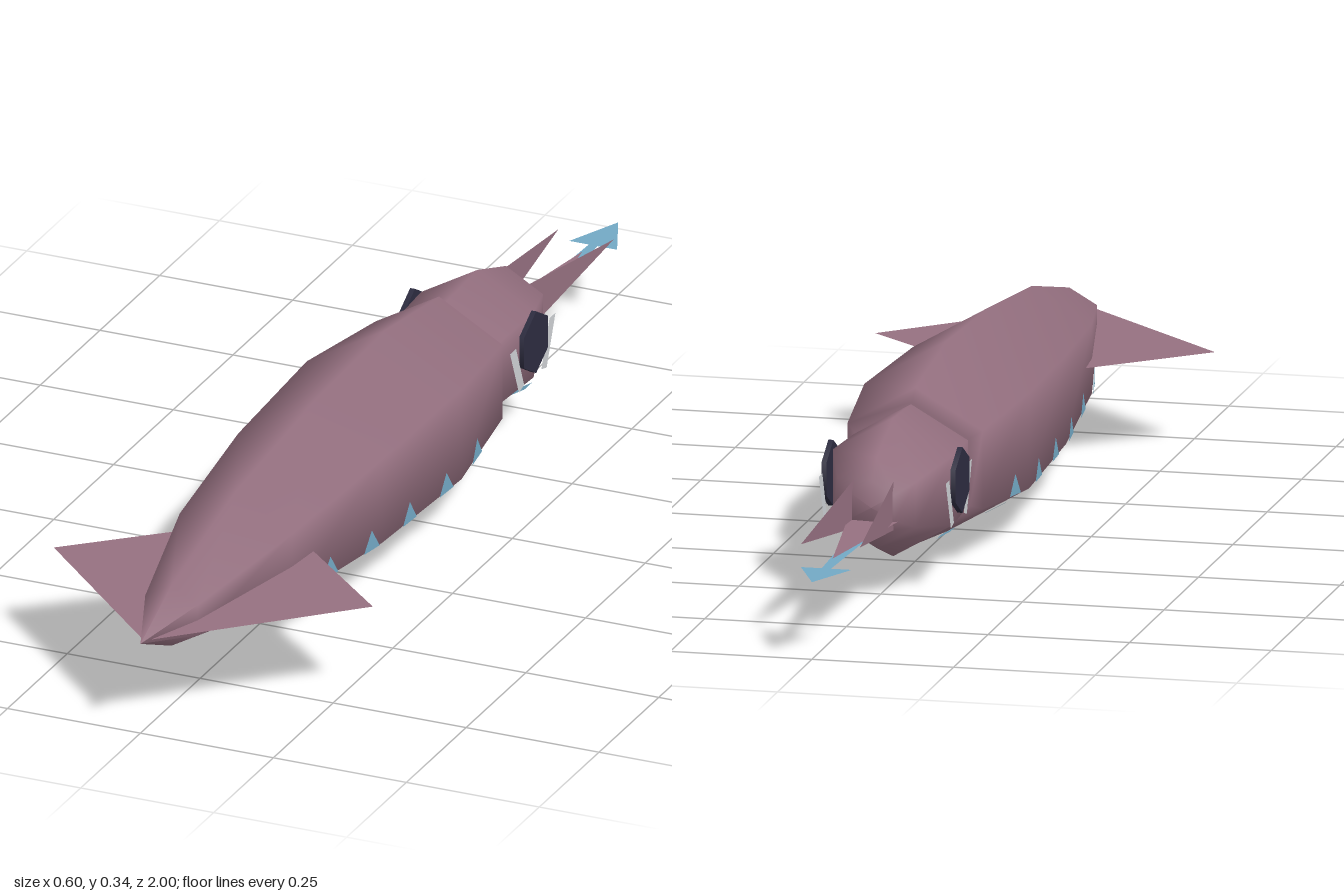
import * as THREE from 'three';

const CY = 0.17; // height of the body axis
const COS = Math.cos(Math.PI / 6);

// [radius, z] from back to front
const BODY = [[0, -0.272], [0.118, -0.272], [0.138, -0.25], [0.168, -0.02], [0.156, 0.29], [0.122, 0.6], [0.057, 0.87], [0, 1]];
const HEAD = [[0, -0.57], [0.045, -0.562], [0.08, -0.53], [0.122, -0.41], [0.116, -0.28], [0.1, -0.25]];

function bodyRadius(z) {
  for (let i = 1; i < BODY.length - 1; i++) {
    const [r0, z0] = BODY[i], [r1, z1] = BODY[i + 1];
    if (z <= z1) return r0 + (r1 - r0) * (z - z0) / (z1 - z0);
  }
  return 0;
}

export function createModel() {
  const group = new THREE.Group();
  const material = (name, color) => {
    const m = new THREE.MeshStandardMaterial({ color, side: THREE.DoubleSide });
    m.name = name;
    return m;
  };
  const skin = material('mauve skin', 0x957080);
  const blue = material('glowing blue', 0x72a8c4);
  const dark = material('dark eye', 0x2d2c40);
  const white = material('eye white', 0xcdd0d4);

  const add = (name, geometry, mat) => {
    const mesh = new THREE.Mesh(geometry, mat);
    mesh.name = name;
    group.add(mesh);
    return mesh;
  };
  // Six-sided tube around the z axis, with edges at the top and bottom
  const hull = (name, profile) => add(name,
    new THREE.LatheGeometry(profile.map(p => new THREE.Vector2(...p)), 6).rotateX(Math.PI / 2), skin).position.y = CY;
  // Flat convex plate from corner points
  const plate = (name, points, mat) => {
    const g = new THREE.BufferGeometry();
    g.setAttribute('position', new THREE.Float32BufferAttribute(points.flat(), 3));
    const index = [];
    for (let i = 1; i < points.length - 1; i++) index.push(0, i, i + 1);
    g.setIndex(index);
    g.computeVertexNormals();
    return add(name, g, mat);
  };
  // Corners in order so that the normal points outward on either side
  const sided = (s, points) => s > 0 ? points : [...points].reverse();

  hull('mantle', BODY);
  hull('head', HEAD);

  for (const s of [1, -1]) {
    // Tail fins
    plate('tailFin', sided(s, [[0, CY, 0.985], [s * 0.3, CY, 0.695], [s * 0.1, CY, 0.515], [0, CY, 0.515]]), skin);

    // Upright arms
    plate('sideArm', sided(s, [[s * 0.035, 0.128, -0.55], [s * 0.052, 0.171, -0.866], [s * 0.035, 0.214, -0.55]]), skin);

    // Eyes with white corners
    const eye = add('eye', new THREE.CylinderGeometry(0.058, 0.058, 0.009, 6)
      .rotateZ(Math.PI / 2).rotateX(Math.PI / 2), dark);
    eye.position.set(s * 0.114, 0.185, -0.393);
    for (const d of [1, -1]) {
      const w = [[0.095, 0.2], [0.07, 0.2], [0.036, 0.118], [0.058, 0.112]]
        .map(([z, y]) => [s * 0.112, y, -0.393 + d * z]);
      plate('eyeWhite', sided(s * d, w), white);
    }

    // Point on the sloping lower face: u = 0 at the side edge, 1 at the keel
    const under = (z, u) => {
      const r = bodyRadius(z) + 0.004;
      return [s * COS * r * (1 - u), CY - r * (0.5 + 0.5 * u), z];
    };
    const side = (z, t) => {
      const r = bodyRadius(z) + 0.004;
      return [s * COS * r, CY + r * t, z];
    };
    for (let i = 0; i < 7; i++) {
      // Upper row of triangular light spots
      const z = 0.76 - i * 0.143, h = 0.036 / bodyRadius(z);
      plate('sideSpot', sided(s, [side(z + 0.027, -0.48), side(z - 0.027, -0.48), side(z, -0.48 + h)]), blue);
      // Lower row of square light spots
      if (i > 5) continue;
      const k = z - 0.08, du = 0.018 / bodyRadius(k);
      plate('bellySpot', sided(s, [under(k + 0.018, 0.4 + du), under(k - 0.018, 0.4 + du),
        under(k - 0.018, 0.4 - du), under(k + 0.018, 0.4 - du)]), blue);
    }
    // Light spot below the eye
    plate('eyeSpot', sided(s, [[s * 0.077, 0.083, -0.38], [s * 0.077, 0.083, -0.412],
      [s * 0.102, 0.098, -0.412], [s * 0.102, 0.098, -0.38]]), blue);
  }

  // Flat middle arm and the long tentacle with its arrow-shaped club
  plate('middleArm', [[0.047, 0.145, -0.54], [0, 0.145, -0.85], [-0.047, 0.145, -0.54]], skin);
  plate('tentacleStem', [[0.022, 0.138, -0.54], [0.008, 0.138, -0.9], [-0.008, 0.138, -0.9], [-0.022, 0.138, -0.54]], blue);
  plate('tentacleClub', [[0.045, 0.138, -0.895], [0, 0.138, -1], [-0.045, 0.138, -0.895]], blue);

  return group;
}
